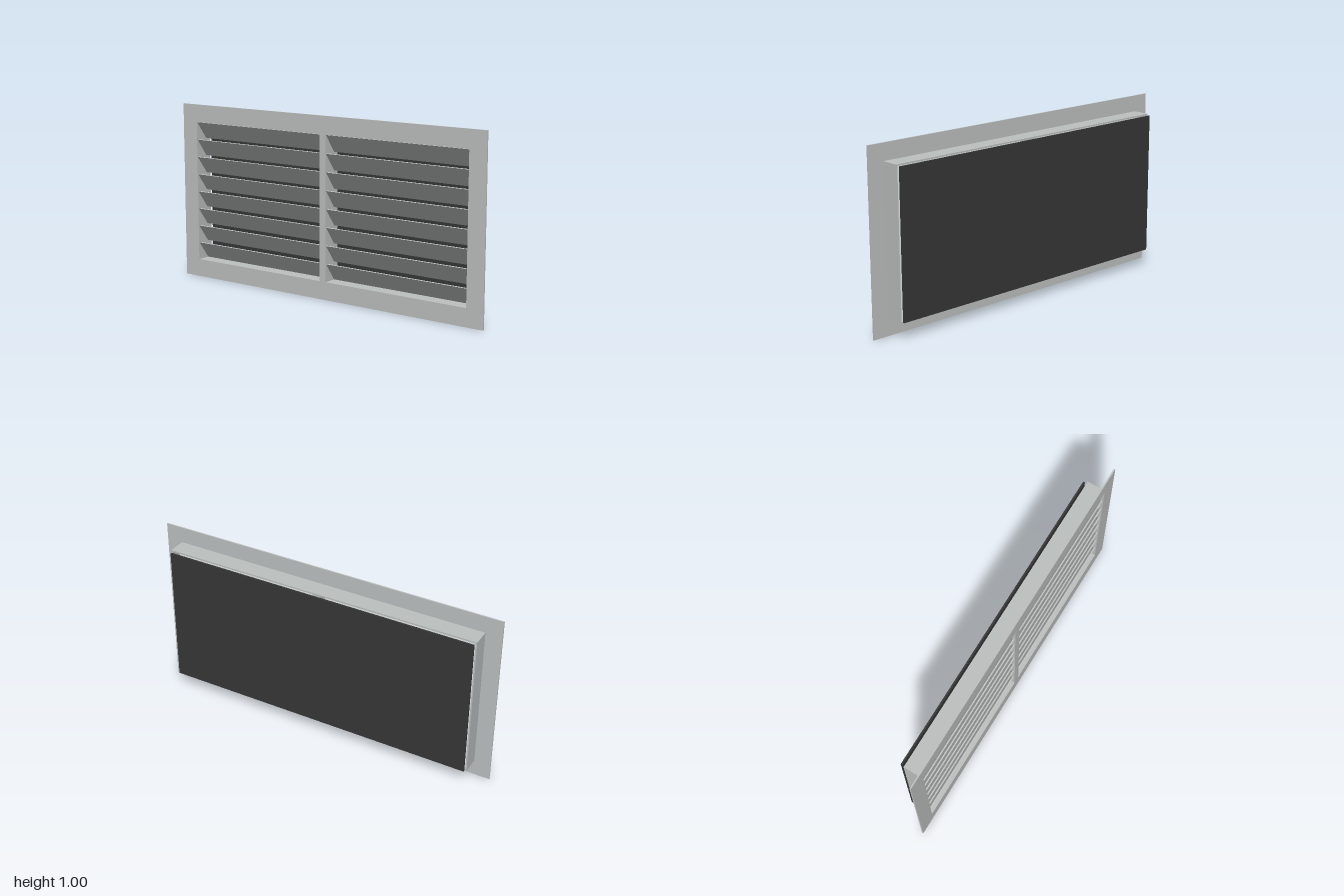
import * as THREE from 'three';

export function createModel() {
  const metal = new THREE.MeshStandardMaterial({ color: 0xbcc0bf });
  metal.name = 'light grey metal';
  const dark = new THREE.MeshStandardMaterial({ color: 0x363636 });
  dark.name = 'dark screen';

  const group = new THREE.Group();
  group.name = 'ventGrille';
  const add = (name, geometry, material, x, y, z) => {
    const mesh = new THREE.Mesh(geometry, material);
    mesh.name = name;
    mesh.position.set(x, y, z);
    group.add(mesh);
    return mesh;
  };

  // Rectangle outline, used for both plates and holes
  const rect = (path, x0, y0, x1, y1) => {
    path.moveTo(x0, y0);
    path.lineTo(x1, y0);
    path.lineTo(x1, y1);
    path.lineTo(x0, y1);
    path.closePath();
    return path;
  };
  const extrude = (shape, depth) =>
    new THREE.ExtrudeGeometry(shape, { depth, bevelEnabled: false });

  // Front flange with two openings
  const flange = rect(new THREE.Shape(), -1, 0, 1, 1);
  flange.holes.push(rect(new THREE.Path(), -0.9, 0.1, -0.02, 0.9));
  flange.holes.push(rect(new THREE.Path(), 0.02, 0.1, 0.9, 0.9));
  add('frontFlange', extrude(flange, 0.008), metal, 0, 0, 0.057);

  // Duct collar behind the flange
  const collar = rect(new THREE.Shape(), -0.908, 0.092, 0.908, 0.908);
  collar.holes.push(rect(new THREE.Path(), -0.9, 0.1, 0.9, 0.9));
  add('collar', extrude(collar, 0.1), metal, 0, 0, -0.043);

  // Central divider
  add('divider', new THREE.BoxGeometry(0.04, 0.8, 0.1), metal, 0, 0.5, 0.007);

  // Slanted blades: upper edge at the front, lower edge at the back
  const section = new THREE.Shape([
    new THREE.Vector2(0.06, 0),
    new THREE.Vector2(0.053, 0.002),
    new THREE.Vector2(-0.018, -0.095),
    new THREE.Vector2(-0.011, -0.097),
  ].reverse());
  const bladeGeometry = extrude(section, 0.88);
  bladeGeometry.rotateY(-Math.PI / 2); // section x -> z, length -> -x
  for (const right of [-0.02, 0.9]) {
    for (let i = 0; i < 8; i++) {
      add('blade', bladeGeometry, metal, right, 0.898 - i * 0.1, 0);
    }
  }

  // Insect screen at the back
  add('backScreen', new THREE.BoxGeometry(1.8, 0.8, 0.01), dark, 0, 0.5, -0.06);

  return group;
}
